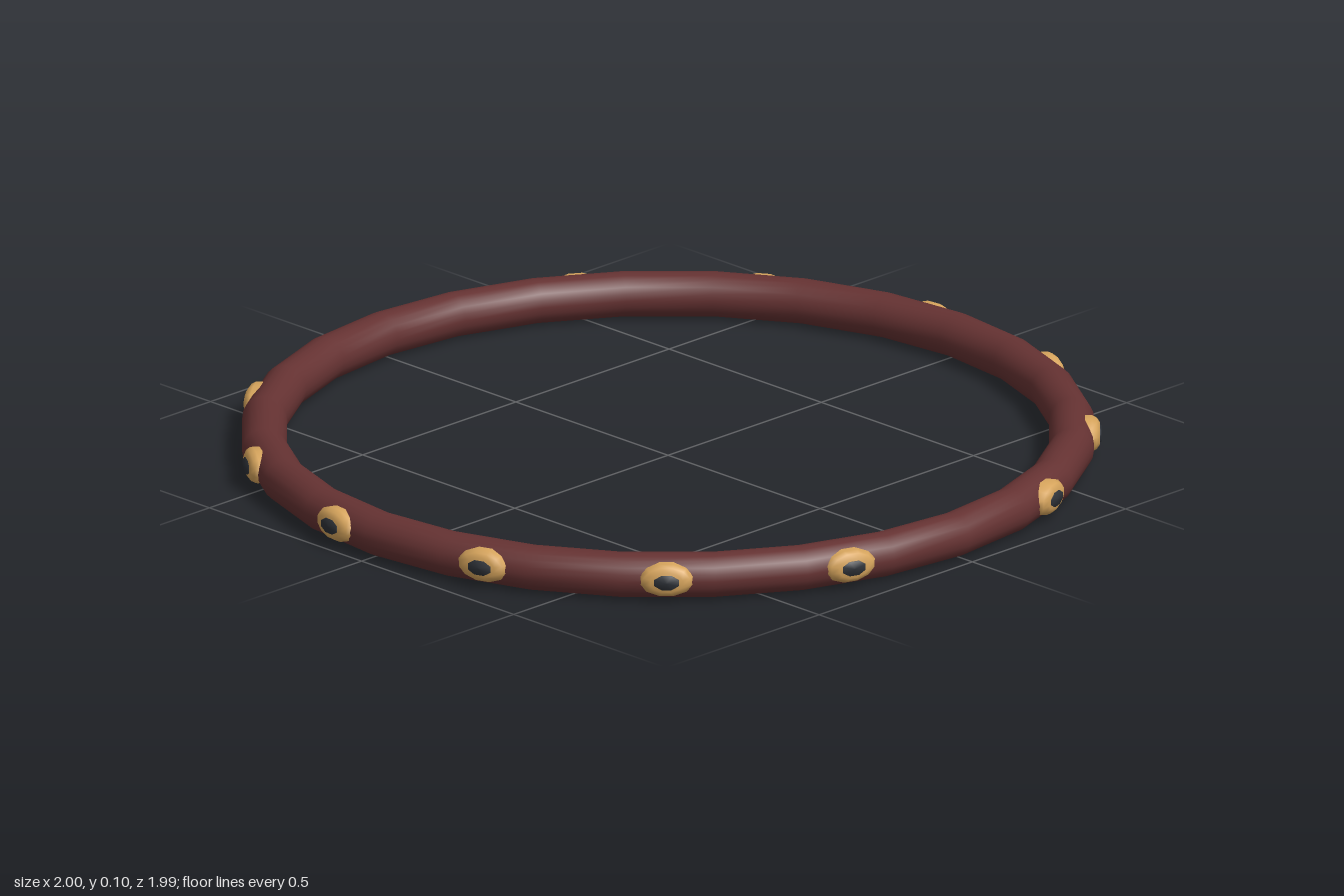
import * as THREE from 'three';

export function createModel() {
  const group = new THREE.Group();
  const brown = new THREE.MeshStandardMaterial({ color: 0x653232 });
  brown.name = 'dark red brown';
  const gold = new THREE.MeshStandardMaterial({ color: 0xd6a45c });
  gold.name = 'gold';
  const dark = new THREE.MeshStandardMaterial({ color: 0x2e3238 });
  dark.name = 'dark stone';

  const SEGMENTS = 28, RING = 0.94, TUBE = 0.0525;

  // Hoop lying flat, with a vertex on each axis
  const hoopGeometry = new THREE.TorusGeometry(RING, TUBE, 20, SEGMENTS);
  hoopGeometry.rotateX(-Math.PI / 2);
  const hoop = new THREE.Mesh(hoopGeometry, brown);
  hoop.name = 'hoop';
  hoop.position.y = TUBE;
  group.add(hoop);

  // Oval stud: a lathed profile squashed to an ellipse, facing +z
  const oval = (profile, sides, halfWidth, halfHeight) => {
    const g = new THREE.LatheGeometry(profile.map(([r, h]) => new THREE.Vector2(r, h)), sides);
    g.rotateY(Math.PI / sides);
    g.rotateX(Math.PI / 2);
    g.scale(halfWidth, halfHeight, 1);
    g.computeVertexNormals();
    return g;
  };
  const settingGeometry = oval(
    [[1, 0.955], [1, 0.982], [0.85, 0.993], [0.6, 1.0], [0, 1.002]], 12, 0.065, 0.04);
  const stoneGeometry = oval([[1, 0.996], [0.92, 1.003], [0, 1.005]], 8, 0.033, 0.02);

  // Six studs along each side, each centred on a flat facet of the hoop
  for (const side of [1, -1]) {
    for (let i = 0; i < 6; i++) {
      const stud = new THREE.Group();
      stud.name = (side > 0 ? 'leftStud' : 'rightStud') + (i + 1);
      const setting = new THREE.Mesh(settingGeometry, gold);
      setting.name = 'setting';
      const stone = new THREE.Mesh(stoneGeometry, dark);
      stone.name = 'stone';
      stud.add(setting, stone);
      stud.position.y = TUBE + 0.003;
      stud.rotation.y = side * (1.5 + 2 * i) * (2 * Math.PI / SEGMENTS);
      group.add(stud);
    }
  }
  return group;
}
